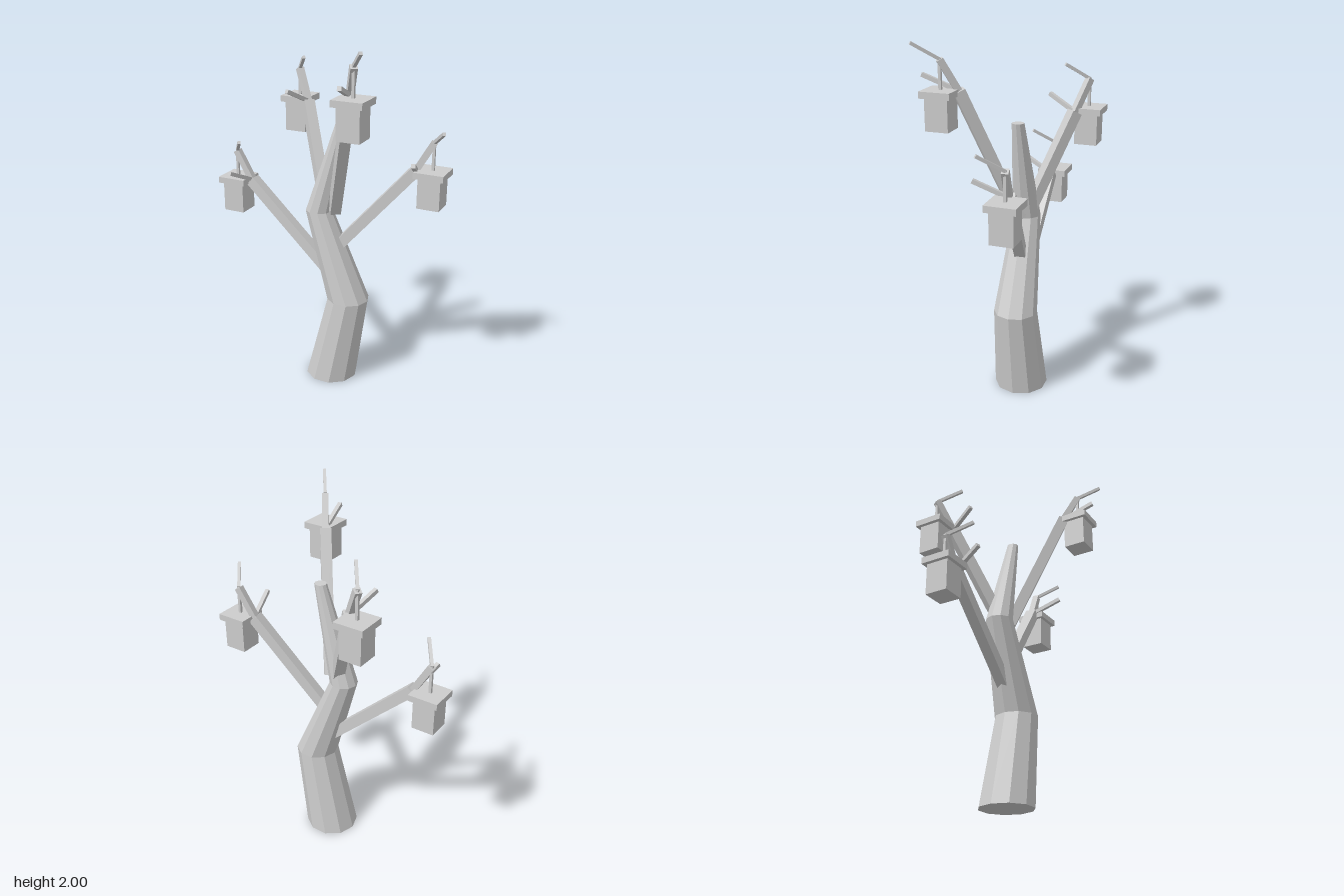
import * as THREE from 'three';

const V = (p) => new THREE.Vector3(...p);

export function createModel() {
  const model = new THREE.Group();
  const grey = new THREE.MeshStandardMaterial({ color: 0xcccccc, flatShading: true });
  grey.name = 'plain grey';

  function add(parent, name, geometry, position = [0, 0, 0]) {
    const mesh = new THREE.Mesh(geometry, grey);
    mesh.name = name;
    mesh.position.set(...position);
    parent.add(mesh);
    return mesh;
  }

  // Square beam running from a to b
  function beam(parent, name, a, b, width) {
    const from = V(a), to = V(b);
    const mesh = add(parent, name, new THREE.BoxGeometry(width, width, from.distanceTo(to)));
    mesh.position.addVectors(from, to).multiplyScalar(0.5);
    mesh.lookAt(to);
  }

  // Crooked ten-sided trunk: [centre x, y, radius] of each ring, top to bottom
  const rings = [[0.093, 1.57, 0.033], [-0.053, 1.02, 0.077], [0.13, 0.51, 0.12], [0.03, 0, 0.15]];
  const trunk = new THREE.CylinderGeometry(1, 1, 3, 10, 3, false, Math.PI / 2);
  const pos = trunk.attributes.position;
  for (let i = 0; i < pos.count; i++) {
    const [x, y, r] = rings[Math.round(1.5 - pos.getY(i))];
    pos.setXYZ(i, x + r * pos.getX(i), y, -0.053 + r * pos.getZ(i));
  }
  trunk.computeVertexNormals();
  add(model, 'trunk', trunk);

  // Branches: root, elbow, tip and end of the side twig
  const branches = [
    { name: 'lowRightBranch', root: [0.03, 0.64, -0.055], elbow: [-0.485, 1.13, -0.055], tip: [-0.58, 1.295, -0.055], twig: [-0.53, 1.21, 0.115] },
    { name: 'lowLeftBranch', root: [0.065, 0.825, -0.06], elbow: [0.475, 1.3, -0.142], tip: [0.565, 1.46, -0.157], twig: [0.52, 1.38, 0.03] },
    { name: 'highLeftBranch', root: [0.045, 1.03, -0.045], elbow: [0.245, 1.75, 0.21], tip: [0.297, 1.91, 0.285], twig: [0.275, 1.825, 0.395] },
    { name: 'highRightBranch', root: [-0.015, 1.03, -0.065], elbow: [-0.23, 1.575, -0.265], tip: [-0.31, 1.745, -0.323], twig: [-0.28, 1.655, -0.108] },
  ];
  for (const { name, root, elbow, tip, twig } of branches) {
    const group = new THREE.Group();
    group.name = name;
    model.add(group);
    const [x, y, z] = tip;
    beam(group, 'limb', root, elbow, 0.06);
    beam(group, 'upperLimb', elbow, tip, 0.036);
    beam(group, 'sideTwig', elbow, twig, 0.022);
    beam(group, 'tipTwig', tip, [x + 0.085, y + 0.085, z + 0.114], 0.017);

    // Hanging lantern
    const lantern = new THREE.Group();
    lantern.name = 'lantern';
    lantern.position.set(x, y, z);
    group.add(lantern);
    add(lantern, 'lanternRod', new THREE.BoxGeometry(0.015, 0.16, 0.015), [0, -0.075, 0]);
    add(lantern, 'lanternCap', new THREE.BoxGeometry(0.166, 0.035, 0.166), [0, -0.168, 0]);
    add(lantern, 'lanternBody', new THREE.BoxGeometry(0.125, 0.17, 0.125), [0, -0.27, 0]);
  }
  return model;
}
